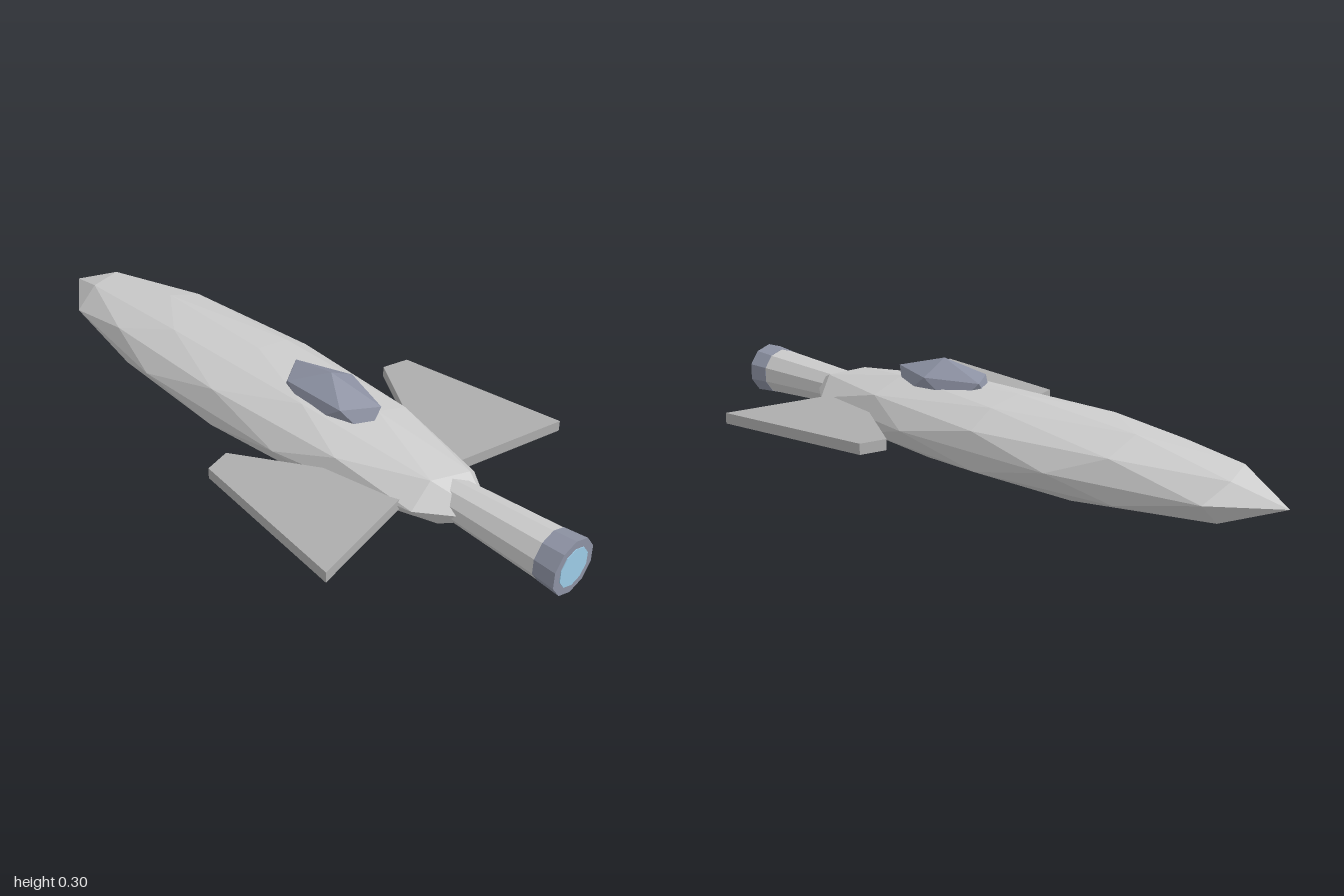
import * as THREE from 'three';

const AXIS_Y = 0.125; // height of the hull's long axis

const paint = (color) => new THREE.MeshStandardMaterial({ color, flatShading: true });

// Ellipsoid from a subdivided icosahedron standing on one vertex
function icoBlob(name, detail, scale, position, material) {
  const geometry = new THREE.IcosahedronGeometry(1, detail);
  geometry.rotateX(-Math.acos(0.52573)); // bring a vertex to the top
  geometry.rotateY(Math.PI / 2); // upper ring points to +x
  geometry.scale(...scale);
  const mesh = new THREE.Mesh(geometry, material);
  mesh.name = name;
  mesh.position.set(...position);
  return mesh;
}

// Ten-sided tapered section along z
function section(name, z0, r0, z1, r1, material) {
  const geometry = new THREE.CylinderGeometry(r1, r0, z1 - z0, 10);
  geometry.rotateX(Math.PI / 2);
  const mesh = new THREE.Mesh(geometry, material);
  mesh.name = name;
  mesh.position.set(0, AXIS_Y, (z0 + z1) / 2);
  return mesh;
}

// Swept flat fin; side is +1 for left and -1 for right
function fin(name, side, material) {
  const outline = [[0.1, 0.42], [0.31, 0.08], [0.39, 0.1], [0.46, 0.61], [0.1, 0.535]];
  const shape = new THREE.Shape(outline.map(([x, z]) => new THREE.Vector2(side * x, z)));
  const geometry = new THREE.ExtrudeGeometry(shape, { depth: 0.032, bevelEnabled: false });
  geometry.rotateX(Math.PI / 2); // shape y becomes z, thickness goes down
  const mesh = new THREE.Mesh(geometry, material);
  mesh.name = name;
  mesh.position.y = 0.14;
  return mesh;
}

export function createModel() {
  const model = new THREE.Group();
  model.name = 'rocketShip';

  const hullPaint = paint(0xcccccc);
  const darkPaint = paint(0x8d92a3);
  const finPaint = paint(0xadadad);

  // Hull and canopy
  model.add(icoBlob('hull', 1, [0.212, 0.121, 0.875], [0, AXIS_Y, -0.125], hullPaint));
  model.add(icoBlob('canopy', 0, [0.094, 0.081, 0.193], [0, 0.219, 0.167], darkPaint));

  // Fins
  model.add(fin('leftFin', 1, finPaint), fin('rightFin', -1, finPaint));

  // Exhaust pipe, dark rim and glowing outlet
  model.add(section('exhaustPipe', 0.58, 0.054, 0.93, 0.073, hullPaint));
  model.add(section('exhaustRim', 0.93, 0.074, 0.998, 0.08, darkPaint));
  model.add(section('exhaustGlow', 0.98, 0.056, 1.0, 0.056, paint(0x9ccbe6)));

  return model;
}
